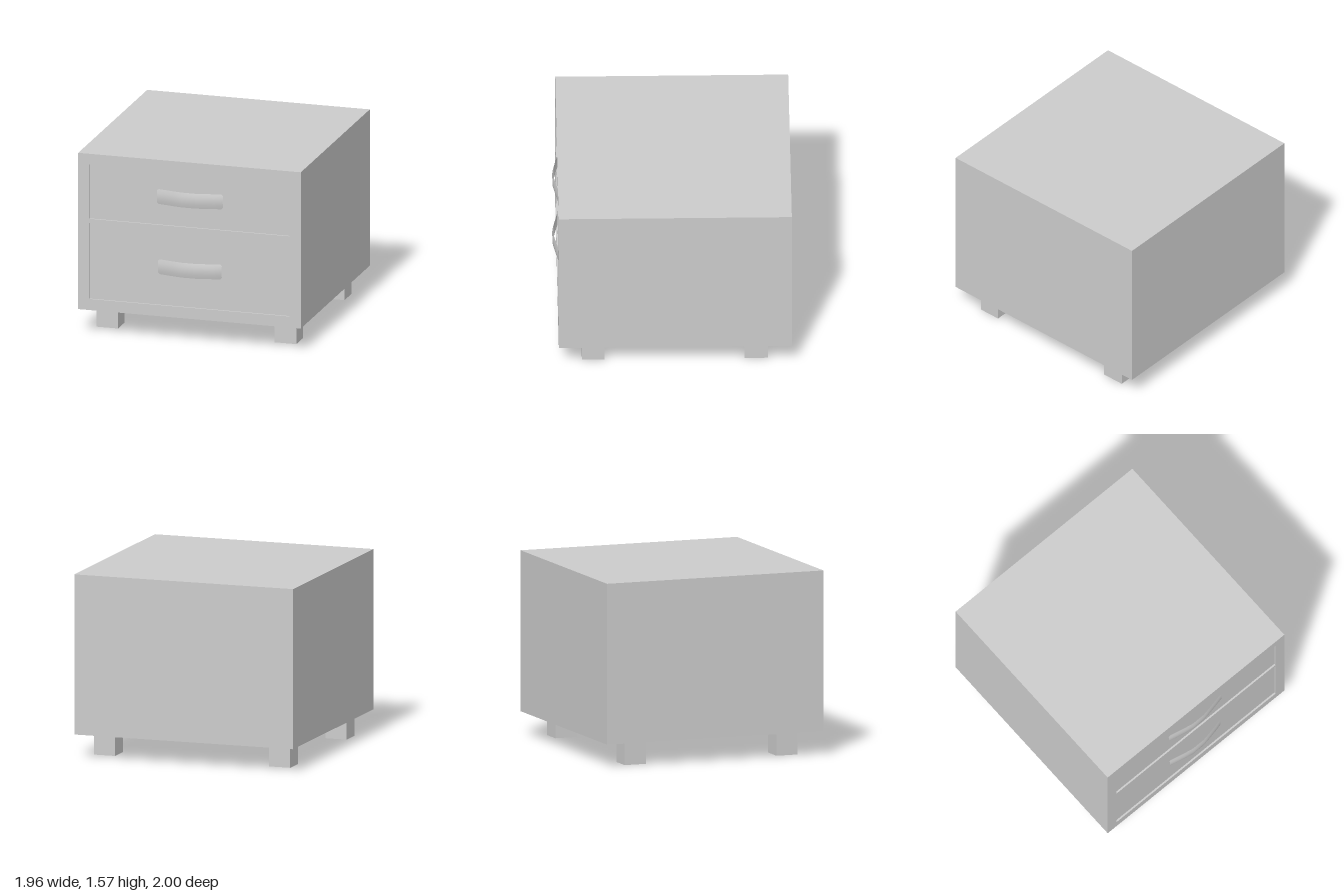
import * as THREE from 'three';

const material = new THREE.MeshStandardMaterial({ color: 0xcccccc });
const sheetMaterial = new THREE.MeshStandardMaterial({ color: 0xcccccc, side: THREE.DoubleSide });

// Box given by its minimum and maximum corners
function box(name, [x0, y0, z0], [x1, y1, z1]) {
  const mesh = new THREE.Mesh(new THREE.BoxGeometry(x1 - x0, y1 - y0, z1 - z0), material);
  mesh.position.set((x0 + x1) / 2, (y0 + y1) / 2, (z0 + z1) / 2);
  mesh.name = name;
  return mesh;
}

// Counter-clockwise rectangle, symmetric in x
function rectangle(PathType, halfWidth, y0, y1) {
  const path = new PathType();
  path.moveTo(-halfWidth, y0);
  path.lineTo(halfWidth, y0);
  path.lineTo(halfWidth, y1);
  path.lineTo(-halfWidth, y1);
  path.closePath();
  return path;
}

// Thin pull, bowed along its length and slightly crowned across its height
function handle(name, halfLength, y0, y1) {
  const profile = [[-halfLength, 0.942], [-0.22, 0.958], [-0.14, 0.975], [-0.06, 0.99],
    [0.06, 0.99], [0.14, 0.975], [0.22, 0.958], [halfLength, 0.942]];
  const geometry = new THREE.PlaneGeometry(1, 1, profile.length - 1, 4);
  const p = geometry.attributes.position;
  for (let i = 0; i < p.count; i++) {
    const [x, z] = profile[i % profile.length];
    const v = p.getY(i);
    p.setXYZ(i, x, THREE.MathUtils.lerp(y0, y1, v + 0.5), z + 0.01 * (1 - 4 * v * v));
  }
  geometry.computeVertexNormals();
  const mesh = new THREE.Mesh(geometry, sheetMaterial);
  mesh.name = name;
  return mesh;
}

export function createModel() {
  const model = new THREE.Group();
  model.name = 'nightstand';

  const frameBack = 0.92, frameFront = 0.96, drawerFront = 0.945;
  const drawers = [
    { name: 'upperDrawer', y: [1.0, 1.475], handleY: [1.18, 1.31], handleHalf: 0.29 },
    { name: 'lowerDrawer', y: [0.297, 0.965], handleY: [0.565, 0.695], handleHalf: 0.28 },
  ];

  // Cabinet body
  model.add(box('cabinetBody', [-0.98, 0.2, -1], [0.98, 1.57, frameBack]));

  // Front frame with an opening for each drawer
  const outline = rectangle(THREE.Shape, 0.98, 0.2, 1.57);
  outline.holes = drawers.map((d) => rectangle(THREE.Path, 0.882, ...d.y));
  const frame = new THREE.Mesh(
    new THREE.ExtrudeGeometry(outline, { depth: frameFront - frameBack, bevelEnabled: false }), material);
  frame.position.z = frameBack;
  frame.name = 'frontFrame';
  model.add(frame);

  // Recessed drawers with handles
  for (const d of drawers) {
    const drawer = new THREE.Group();
    drawer.name = d.name;
    drawer.add(
      box('drawerFront', [-0.882, d.y[0], frameBack], [0.882, d.y[1], drawerFront]),
      handle('drawerHandle', d.handleHalf, ...d.handleY));
    model.add(drawer);
  }

  // Four square feet
  for (const [side, x] of [['left', 0.69], ['right', -0.88]]) {
    model.add(box(side + 'FrontFoot', [x, 0, 0.575], [x + 0.19, 0.2, 0.765]));
    model.add(box(side + 'BackFoot', [x, 0, -0.8], [x + 0.19, 0.2, -0.605]));
  }
  return model;
}
